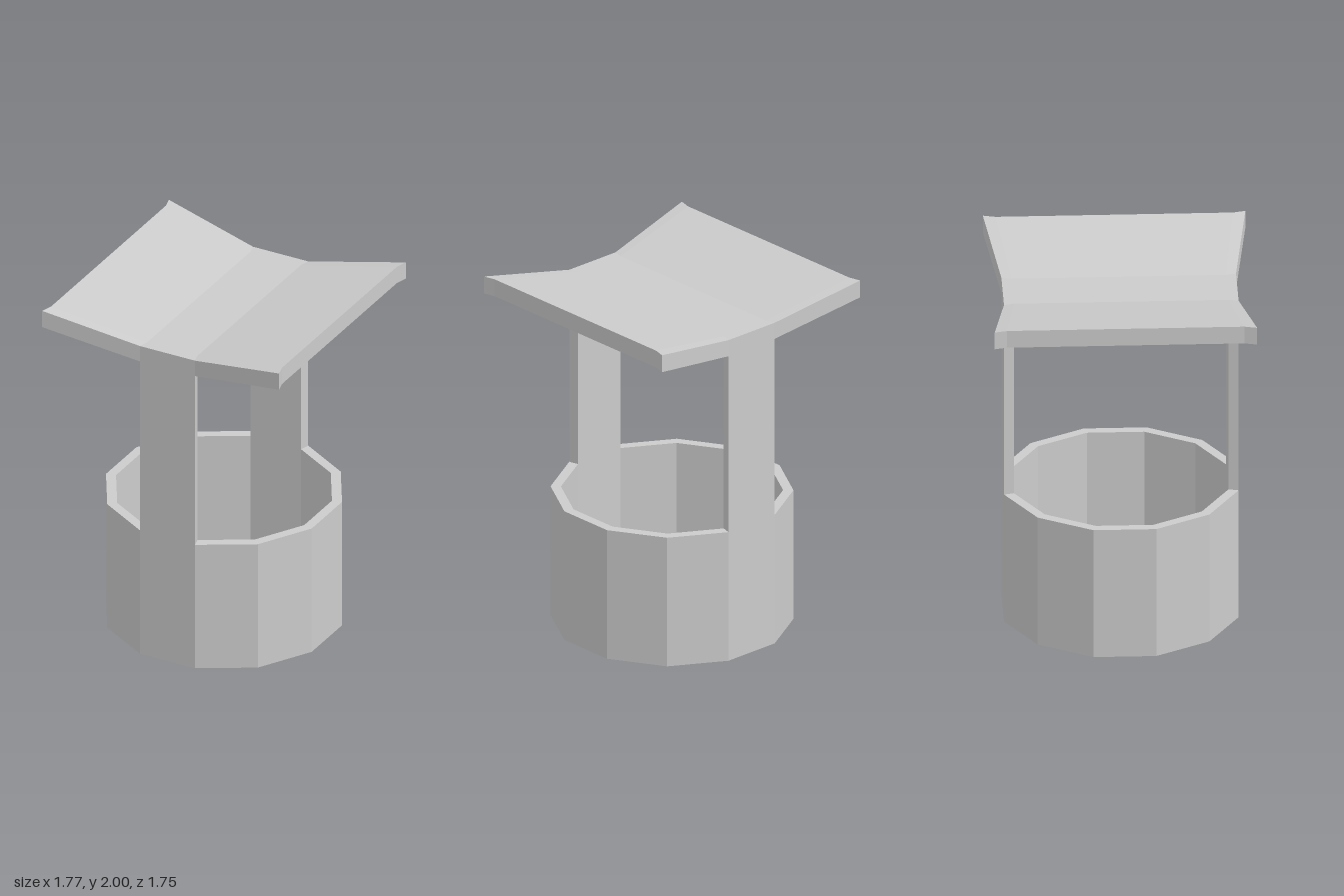
import * as THREE from 'three';

const OUTER = 0.656, INNER = 0.6, RIM = 0.76, EAVE = 1.8;
const material = new THREE.MeshStandardMaterial({ color: 0xcccccc, flatShading: true });

// Point on the twelve-sided ring: step 0 lies on +z, step 3 on +x
const ringPoint = (r, step) => [r * Math.sin(step * Math.PI / 6), r * Math.cos(step * Math.PI / 6)];

// Closed solid over a grid of [x, z] points (i along +x, j towards -z)
function slab(grid, low, high) {
  const verts = [];
  const ni = grid.length - 1, nj = grid[0].length - 1;
  const p = (i, j, y) => [grid[i][j][0], y[i], grid[i][j][1]];
  const quad = (a, b, c, d) => verts.push(...a, ...b, ...c, ...a, ...c, ...d);
  const wall = (i, j, k, l) => quad(p(i, j, low), p(k, l, low), p(k, l, high), p(i, j, high));
  for (let i = 0; i < ni; i++) {
    for (let j = 0; j < nj; j++) {
      quad(p(i, j, high), p(i + 1, j, high), p(i + 1, j + 1, high), p(i, j + 1, high));
      quad(p(i, j, low), p(i, j + 1, low), p(i + 1, j + 1, low), p(i + 1, j, low));
    }
    wall(i, 0, i + 1, 0);
    wall(i + 1, nj, i, nj);
  }
  for (let j = 0; j < nj; j++) {
    wall(ni, j, ni, j + 1);
    wall(0, j + 1, 0, j);
  }
  const geo = new THREE.BufferGeometry();
  geo.setAttribute('position', new THREE.Float32BufferAttribute(verts, 3));
  geo.computeVertexNormals();
  return geo;
}

export function createModel() {
  const model = new THREE.Group();
  const add = (name, geometry) => {
    const mesh = new THREE.Mesh(geometry, material);
    mesh.name = name;
    model.add(mesh);
    return mesh;
  };

  // Hollow twelve-sided basin with a floor
  const profile = [[0, 0], [OUTER, 0], [OUTER, RIM], [INNER, RIM], [INNER, 0.05], [0, 0.05]];
  add('wellBasin', new THREE.LatheGeometry(profile.map(([x, y]) => new THREE.Vector2(x, y)), 12));

  // Two flat posts, each rising from one side of the rim
  const postGrid = [0, 1].map(s => [ringPoint(OUTER, s), ringPoint(INNER, s)]);
  const post = slab(postGrid, [RIM, RIM], [EAVE, EAVE]);
  add('frontPost', post);
  add('backPost', post).rotation.y = Math.PI;

  // Roof: a flat strip over the posts with two upswept wings
  const front = [
    [[-0.52, 0.875], [-0.52, 0.805]],
    postGrid[0],
    postGrid[1],
    [[0.887, 0.495], [0.853, 0.435]],
  ];
  // The back edge is the front edge turned half way round
  const roofGrid = front.map((pair, i) => {
    const [outer, inner] = front[3 - i].map(([x, z]) => [-x, -z]);
    return [...pair, inner, outer];
  });
  add('roof', slab(roofGrid, [1.9, EAVE, EAVE, 1.9], [2, 1.895, 1.895, 2]));

  return model;
}
